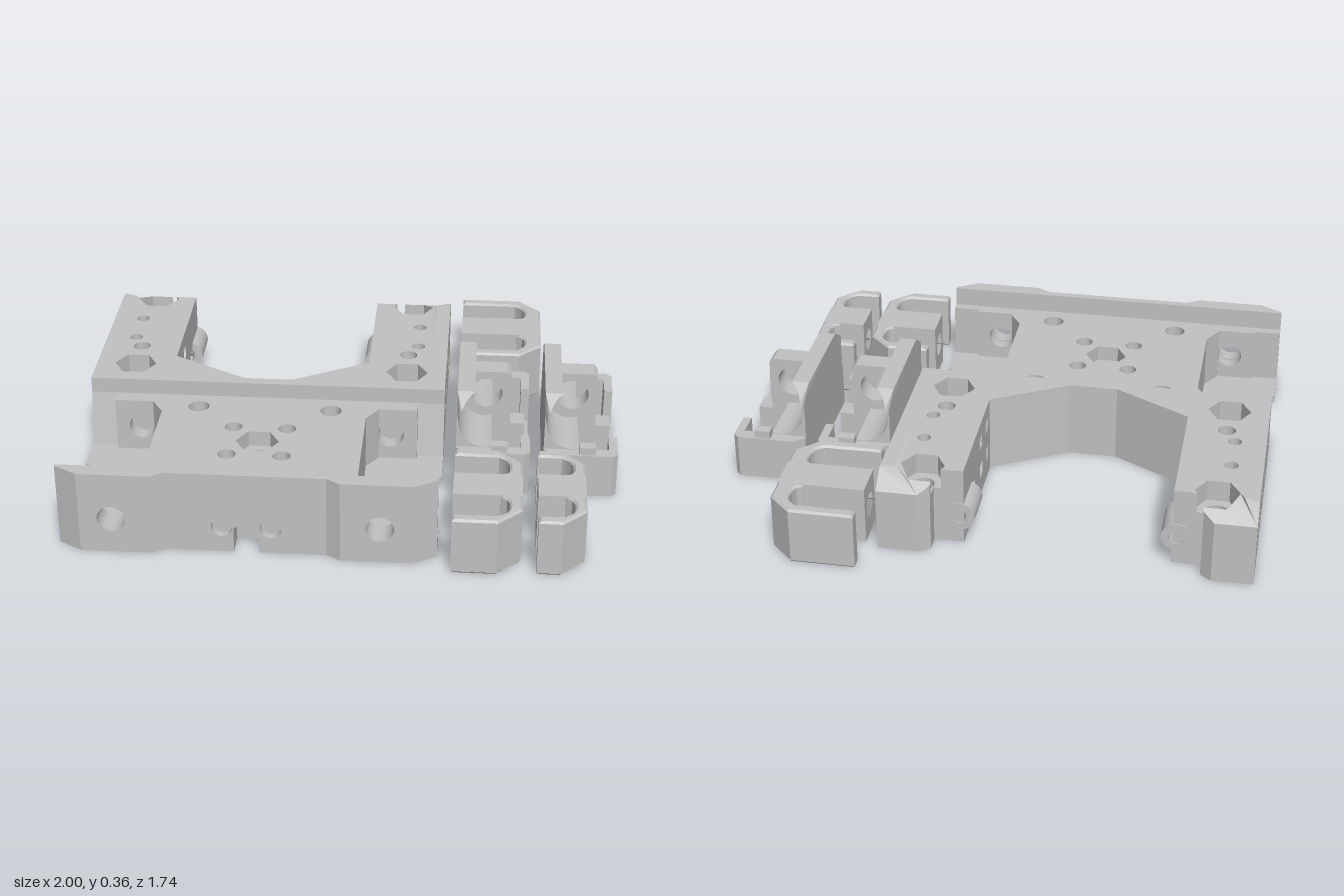
import * as THREE from 'three';
import { toCreasedNormals } from 'three/addons/utils/BufferGeometryUtils.js';

const grey = new THREE.MeshStandardMaterial({ color: 0xc2c2c2 });
grey.name = 'grey plastic';

const CX = -0.325; // centre line of the carriage plate

// --- outline helpers: every outline is a list of [u, v] points ---
const ring = (u, v, r, n = 28) => Array.from({ length: n }, (_, i) => {
  const a = (i / n) * Math.PI * 2;
  return [u + r * Math.cos(a), v + r * Math.sin(a)];
});
const rect = (u0, v0, u1, v1) => [[u0, v0], [u1, v0], [u1, v1], [u0, v1]];
const mirror = (pts) => [...pts, ...pts.map(([u, v]) => [-u, v]).reverse()];
const vec = (pts) => pts.map(([u, v]) => new THREE.Vector2(u, v));

function extrude(outline, holes, depth, bevel = 0) {
  const shape = new THREE.Shape(vec(outline));
  holes.forEach((h) => shape.holes.push(new THREE.Path(vec(h))));
  const g = new THREE.ExtrudeGeometry(shape, {
    depth: depth - 2 * bevel, bevelEnabled: bevel > 0, bevelSize: bevel,
    bevelThickness: bevel, bevelOffset: -bevel, bevelSegments: 1,
  });
  return g.translate(0, 0, bevel);
}
function add(parent, name, geometry) {
  const mesh = new THREE.Mesh(toCreasedNormals(geometry, 0.5), grey);
  mesh.name = name;
  parent.add(mesh);
}
// Outline in (x, z), raised from y0 to y1
const flip = (pts) => pts.map(([x, z]) => [x, -z]);
const slabGeometry = (outline, holes, y0, y1, bevel = 0) =>
  extrude(flip(outline), holes.map(flip), y1 - y0, bevel).rotateX(-Math.PI / 2).translate(0, y0, 0);
const slab = (parent, name, ...args) => add(parent, name, slabGeometry(...args));
// Outline in (z, y), running from x0 to x1
const neg = (pts) => pts.map(([z, y]) => [-z, y]);
const sidePlate = (parent, name, outline, holes, x0, x1) => add(parent, name,
  extrude(neg(outline), holes.map(neg), x1 - x0).rotateY(Math.PI / 2).translate(x0, 0, 0));
// Outline in (x, y), running from z0 to z1
const frontPlate = (parent, name, outline, holes, z0, z1) => add(parent, name,
  extrude(outline, holes, z1 - z0).translate(0, 0, z0));
const box = (parent, name, x0, x1, y0, y1, z0, z1) => add(parent, name,
  new THREE.BoxGeometry(x1 - x0, y1 - y0, z1 - z0).translate((x0 + x1) / 2, (y0 + y1) / 2, (z0 + z1) / 2));

function carriage() {
  const g = new THREE.Group();
  g.name = 'carriagePlate';
  g.position.set(CX, 0, 0.003);

  // Screws: [x, z, hole radius, counterbore radius]
  const blockScrews = [[0, 0.41, 0.04, 0.074]];
  const armScrews = [];
  for (const s of [-1, 1]) {
    for (const z of [0.165, 0.665]) blockScrews.push([s * 0.25, z, 0.04, 0.074]);
    for (const z of [0.31, 0.51]) blockScrews.push([s * 0.1, z, 0.033, 0.062]);
    armScrews.push([s * 0.525, -0.05, 0.04, 0.074], [s * 0.525, -0.195, 0.033, 0.062], [s * 0.525, -0.62, 0.04, 0.043]);
  }
  const drill = (list) => list.map(([x, z, r]) => ring(x, z, r));
  const bore = (list) => list.map(([x, z, , r]) => ring(x, z, r));
  const hex = (x, z) => ring(x, z, 0.08, 6);

  // Thin floor with side notches and a slot at the front
  const slot = [[0.045, 0.69], [0.045, 0.75]];
  const tip = [[0.675, -0.73], [0.525, -0.73], [0.485, -0.7]];
  const rear = [...tip, [0.485, -0.64], [0.375, -0.64], [0.375, -0.12], [0.09, 0.04]];
  slab(g, 'floor', mirror([...slot, [0.675, 0.75], [0.675, 0.57], [0.575, 0.51], [0.575, 0.33], [0.675, 0.27], ...rear]),
    bore([...blockScrews, ...armScrews]), 0, 0.03);

  // Centre block with counterbores below and a nut trap on top
  const half = [[0.43, 0.75], [0.43, 0.69], [0.385, 0.62], [0.385, 0.21], [0.43, 0.14], [0.43, 0.08]];
  slab(g, 'blockLower', mirror([...slot, ...half]), bore(blockScrews), 0.03, 0.1);
  slab(g, 'blockMiddle', mirror(half), drill(blockScrews), 0.1, 0.18);
  slab(g, 'blockUpper', mirror(half), [hex(0, 0.41), ...drill(blockScrews.slice(1))], 0.18, 0.24);

  // U-shaped rear arms, recessed where the slotted cheeks sit
  const arms = (inner) => mirror([[0.675, 0.08], [0.675, -0.12], [0.62, -0.12], [0.62, -0.64], [0.675, -0.64],
    [0.675, -0.66], ...tip, ...inner, [0.43, -0.64], [0.43, -0.12], [0.375, -0.12], [0.09, 0.04]]);
  slab(g, 'armsLower', arms([[0.485, -0.64]]), bore(armScrews), 0.03, 0.1);
  slab(g, 'armsMiddle', arms([[0.485, -0.64]]), drill(armScrews), 0.1, 0.22);
  // The rear nut trap breaks through the arm corner
  const openTrap = [[0.485, -0.689], [0.565, -0.689], [0.605, -0.62], [0.565, -0.551], [0.485, -0.551], [0.445, -0.62], [0.457, -0.64]];
  const topHoles = [];
  for (const s of [-1, 1]) {
    topHoles.push(hex(s * 0.525, -0.05), ring(s * 0.525, -0.195, 0.033),
      ring(s * 0.56, -0.27, 0.025), ring(s * 0.56, -0.435, 0.025));
  }
  // Top surface falls away at the rear ends
  const upper = slabGeometry(arms(openTrap), topHoles, 0.22, 0.3);
  const up = upper.attributes.position;
  for (let k = 0; k < up.count; k++)
    if (up.getY(k) > 0.25) up.setY(k, 0.3 - Math.max(0, -0.66 - up.getZ(k)) * 0.86);
  upper.computeVertexNormals();
  add(g, 'armsUpper', upper);

  // Cheeks with tie slots and screw holes
  const cheekHoles = [ring(-0.56, 0.11, 0.035), ring(-0.46, 0.11, 0.035)];
  for (const z of [-0.18, -0.3]) for (const y of [0.1, 0.22]) cheekHoles.push(rect(z - 0.025, y - 0.025, z + 0.025, y + 0.025));
  for (const x of [-0.675, -0.43, 0.375, 0.62])
    sidePlate(g, 'armCheek', rect(-0.64, 0.03, -0.12, 0.3), cheekHoles, x, x + 0.055);

  for (const s of [-1, 1]) {
    // Rod supports at both ends of each side pocket
    const [x0, x1] = [s * 0.4, s * 0.575].sort((a, b) => a - b);
    const rod = ring(s * 0.475, 0.13, 0.05);
    frontPlate(g, 'rodSupport', rect(x0, 0.03, x1, 0.24), [rod], 0.08, 0.14);
    frontPlate(g, 'rodSupport', rect(x0, 0.03, x1, 0.24), [rod], 0.7, 0.75);
    // Sloped gusset behind and low rib in front at the outer edge
    const edge = s > 0 ? 0.575 : -0.675;
    sidePlate(g, 'gusset', [[0.08, 0.03], [0.12, 0.03], [0.08, 0.24]], [], edge, edge + 0.1);
    box(g, 'edgeRib', edge, edge + 0.1, 0.03, 0.24, 0.715, 0.75);
    // Tubular boss at the inner end of each arm
    frontPlate(g, 'armBoss', ring(s * 0.39, 0.11, 0.055), [ring(s * 0.39, 0.11, 0.028)], -0.645, -0.49);
  }

  // Front wall in straight facets; front face follows a line of [x, z] points
  const line = [[0.675, 0.76], [0.59, 0.81], [0.335, 0.81], [0.285, 0.78]];
  const path = [...line.map(([x, z]) => [-x, z]), ...line.slice().reverse()];
  for (let i = 0; i < path.length - 1; i++) {
    const [x0, z0] = path[i], [x1, z1] = path[i + 1];
    let outline = rect(x0, 0, x1, 0.315);
    const holes = [];
    if (i === 1 || i === 5) holes.push(ring(Math.sign(x0) * 0.475, 0.135, 0.05));
    if (i === 3) {
      outline = [...mirror([[0.045, 0], [x1, 0], [x1, 0.315]]), [-0.045, 0.1], [0.045, 0.1]];
      holes.push(ring(-0.087, 0.1, 0.038), ring(0.087, 0.1, 0.038));
    }
    const geo = extrude(outline, holes, 0.02);
    const p = geo.attributes.position;
    for (let k = 0; k < p.count; k++) {
      const front = z0 + ((z1 - z0) * (p.getX(k) - x0)) / (x1 - x0);
      p.setZ(k, p.getZ(k) > 0.01 ? front : 0.75);
    }
    geo.computeVertexNormals();
    add(g, 'frontWall', geo);
  }
  return g;
}

// E-shaped cable clip: two hooks joined by a drilled middle block; t is the wall at the slot end
function clip(x0, x1, zc, t) {
  const g = new THREE.Group();
  g.name = 'cableClip';
  const hook = [[x0, 0.245], [x1 - 0.085, 0.245], [x1, 0.16], [x1, 0.055], [x1 - t - 0.04, 0.055], [x1 - t - 0.03, 0.075],
    [x1 - t - 0.01, 0.088], [x1 - t, 0.11], [x1 - t, 0.15], [x1 - t - 0.012, 0.178], [x1 - t - 0.04, 0.2], [x0, 0.202]];
  for (const s of [-1, 1]) slab(g, 'hook', hook.map(([x, z]) => [x, s * z]), [], 0, 0.22, 0.008);
  sidePlate(g, 'middleBlock', rect(-0.073, 0, 0.073, 0.22), [ring(0, 0.115, 0.045)], x0, x1);
  g.position.z = zc;
  return g;
}

// Bearing holder: curved cradle over an open rectangular frame
function holder(x, z) {
  const g = new THREE.Group();
  g.name = 'bearingHolder';
  const profile = [[0, 0], [0.13, 0]];
  for (let i = 0; i <= 18; i++) {
    const a = THREE.MathUtils.degToRad(-75 - (i / 18) * 170);
    profile.push([0.105 + 0.098 * Math.cos(a), 0.27 + 0.098 * Math.sin(a)]);
  }
  profile.push([0.064, 0.36], [0, 0.36], [0, 0.31]);
  const cradle = extrude(profile, [], 0.56).translate(0, 0, -0.28);
  // Slope the upper corners inward
  const p = cradle.attributes.position;
  for (let k = 0; k < p.count; k++)
    p.setZ(k, Math.sign(p.getZ(k)) * (0.28 - Math.max(0, p.getY(k) - 0.31) * 1.6));
  cradle.computeVertexNormals();
  add(g, 'cradle', cradle);

  // Middle rib with the rod hole, and the post in front of it
  frontPlate(g, 'rib', [[0, 0.17], [0.2, 0.17], [0.2, 0.345], [0.185, 0.36], [0, 0.36]], [ring(0.108, 0.27, 0.06)], -0.042, 0.042);
  box(g, 'ribFoot', 0.12, 0.2, 0, 0.17, -0.042, 0.042);
  box(g, 'post', 0.19, 0.255, 0, 0.14, -0.04, 0.04);

  // Frame
  box(g, 'frontBar', 0.242, 0.274, 0, 0.03, -0.3, 0.3);
  for (const s of [-1, 1]) {
    const end = [[0, 0.27], [0, 0.29], [0.04, 0.325], [0.255, 0.325], [0.274, 0.305], [0.274, 0.275]].map(([u, v]) => [u, s * v]);
    slab(g, 'frameEnd', end, [], 0, 0.17);
    box(g, 'frameLug', 0.13, 0.19, 0.17, 0.2, s * 0.3 - 0.02, s * 0.3 + 0.02);
    box(g, 'frameCorner', 0.242, 0.274, 0, 0.17, s * 0.23 - 0.05, s * 0.23 + 0.05);
  }
  g.position.set(x, 0, z);
  return g;
}

export function createModel() {
  const model = new THREE.Group();
  model.name = 'carriageKit';
  model.add(carriage());
  model.add(clip(0.4, 0.72, -0.625, 0.065), clip(0.4, 0.645, 0.62, 0.045), clip(0.7, 0.87, 0.61, 0.042));
  model.add(holder(0.4, -0.005), holder(0.725, -0.012));
  return model;
}
